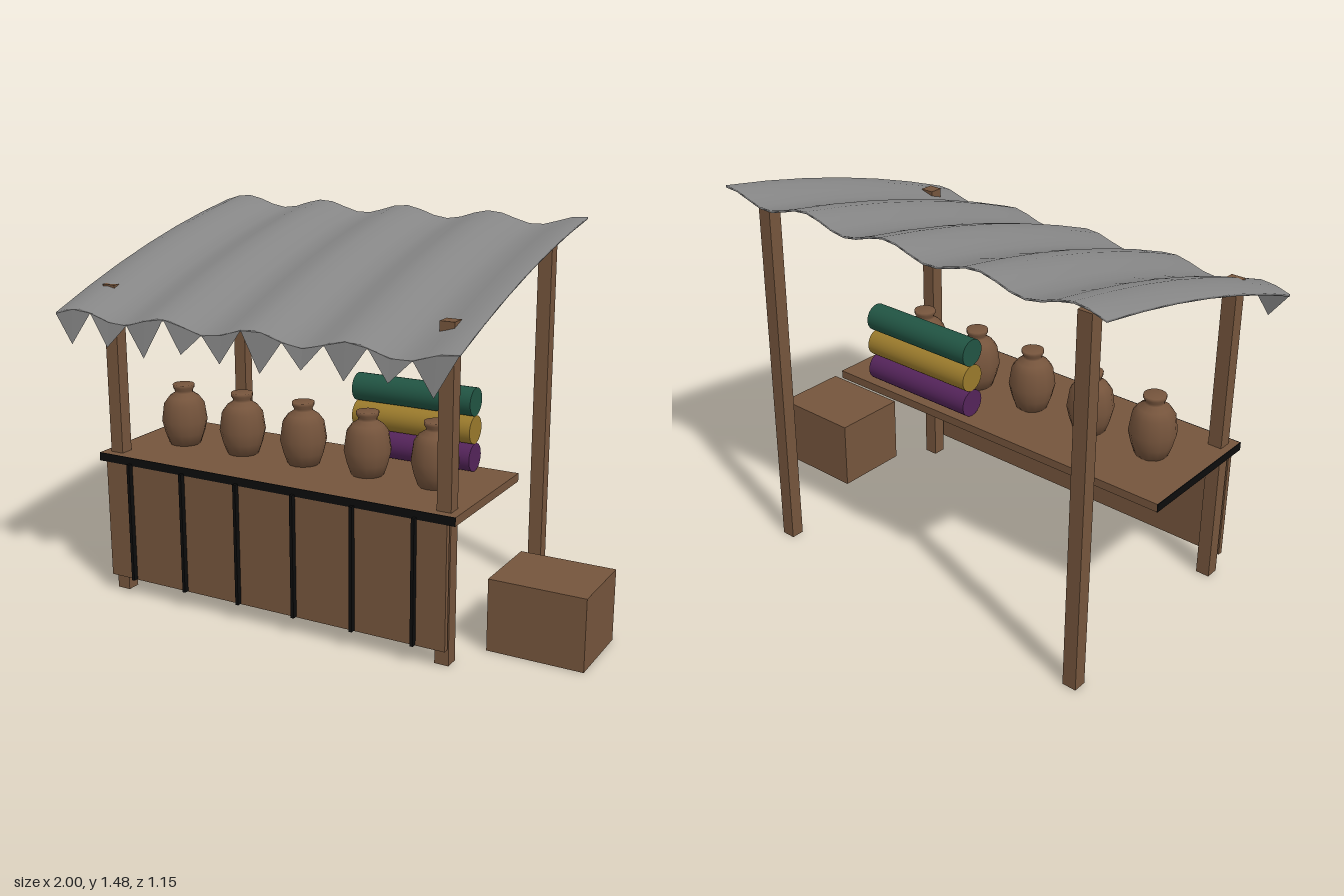
import * as THREE from 'three';
import { mergeVertices } from 'three/addons/utils/BufferGeometryUtils.js';

const material = (name, color, side = THREE.FrontSide) => {
  const m = new THREE.MeshStandardMaterial({ color, side });
  m.name = name;
  return m;
};

export function createModel() {
  const wood = material('wood', 0x75553c);
  const clay = material('clay', 0x75543c);
  const dark = material('dark trim', 0x0c0c0c);
  const cloth = material('grey cloth', 0x868686, THREE.DoubleSide);
  const rollColors = [
    material('purple fabric', 0x54245a),
    material('gold fabric', 0x9a7a2c),
    material('green fabric', 0x215443),
  ];

  const model = new THREE.Group();
  model.name = 'marketStall';

  const add = (name, geometry, mat, x = 0, y = 0, z = 0) => {
    const mesh = new THREE.Mesh(geometry, mat);
    mesh.name = name;
    mesh.position.set(x, y, z);
    model.add(mesh);
    return mesh;
  };
  // Box given by its minimum and maximum corners
  const box = (name, mat, x0, x1, y0, y1, z0, z1) =>
    add(name, new THREE.BoxGeometry(x1 - x0, y1 - y0, z1 - z0), mat,
      (x0 + x1) / 2, (y0 + y1) / 2, (z0 + z1) / 2);

  // Posts: short pair in front, tall pair behind
  for (const x of [-0.905, 0.51]) {
    box('frontPost', wood, x, x + 0.055, 0, 1.235, 0.348, 0.402);
    box('backPost', wood, x, x + 0.055, 0, 1.42, -0.512, -0.46);
  }

  // Counter with dark edging on the front and one end
  box('counterTop', wood, -0.933, 0.597, 0.54, 0.572, -0.115, 0.433);
  box('counterFrontTrim', dark, -0.936, 0.597, 0.54, 0.572, 0.433, 0.437);
  box('counterEndTrim', dark, -0.936, -0.933, 0.54, 0.572, -0.115, 0.433);

  // Front panel with dark battens
  box('frontPanel', wood, -0.905, 0.565, 0.067, 0.54, 0.413, 0.434);
  for (let i = 0; i < 6; i++) {
    const x = -0.786 + i * 0.246;
    box('batten', dark, x - 0.006, x + 0.006, 0.07, 0.548, 0.434, 0.455);
  }

  // Crate beside the stall
  box('crate', wood, 0.63, 1, 0, 0.278, -0.086, 0.22);

  // Clay jars
  const jarProfile = [
    [0, 0], [0.062, 0], [0.078, 0.045], [0.09, 0.095], [0.08, 0.165],
    [0.06, 0.192], [0.036, 0.208], [0.036, 0.218], [0.043, 0.23], [0.043, 0.242], [0, 0.242],
  ].map(([r, y]) => new THREE.Vector2(r, y));
  const jarGeometry = new THREE.LatheGeometry(jarProfile, 14);
  for (let i = 0; i < 5; i++) add('jar', jarGeometry, clay, -0.725 + i * 0.2775, 0.572, 0.16);

  // Stack of fabric rolls
  const rollGeometry = new THREE.CylinderGeometry(0.054, 0.054, 0.495, 28).rotateZ(Math.PI / 2);
  rollColors.forEach((mat, i) => add('fabricRoll', rollGeometry, mat, 0.1975, 0.627 + i * 0.107, -0.055));

  // Canopy: a thin slab bent into a sloping, rippled sheet
  const canopyY = (x, z) =>
    1.33 - 0.27 * z - 0.101 * z * z + 0.021 * Math.cos(16.4 * (x + 0.125));
  let sheet = new THREE.BoxGeometry(1.66, 0.008, 1.14, 28, 1, 6);
  sheet.deleteAttribute('normal');
  sheet.deleteAttribute('uv');
  sheet = mergeVertices(sheet);
  sheet.translate(-0.17, 0, -0.006);
  const p = sheet.attributes.position;
  for (let i = 0; i < p.count; i++) p.setY(i, p.getY(i) + canopyY(p.getX(i), p.getZ(i)));
  sheet.computeVertexNormals();
  add('canopy', sheet, cloth);

  // Pointed fringe along the front edge
  const tips = [1.035, 1.04, 1.018, 1.05, 1.035, 1.02, 1.052, 1.035, 1.048, 1.018];
  const verts = [];
  tips.forEach((tipY, i) => {
    const x0 = -1 + i * 0.166, x1 = x0 + 0.166, xm = x0 + 0.083;
    const top = (x) => [x, canopyY(x, 0.564), 0.565];
    verts.push(...top(x0), xm, tipY, 0.578, ...top(xm));
    verts.push(...top(xm), xm, tipY, 0.578, ...top(x1));
  });
  const fringe = new THREE.BufferGeometry();
  fringe.setAttribute('position', new THREE.Float32BufferAttribute(verts, 3));
  fringe.computeVertexNormals();
  add('fringe', fringe, cloth);

  return model;
}
